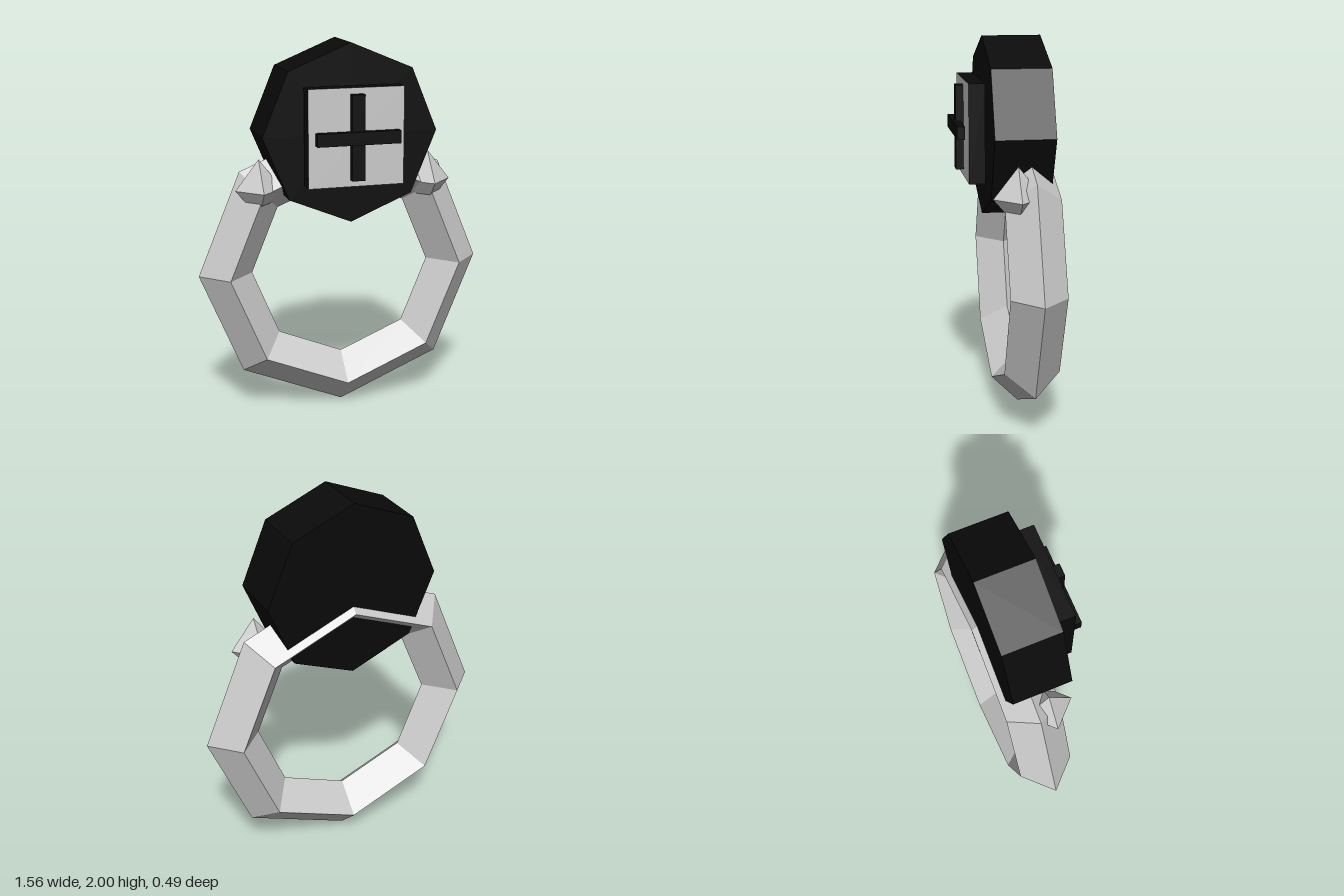
import * as THREE from 'three';

export function createModel() {
  const model = new THREE.Group();
  const silver = new THREE.MeshStandardMaterial({ color: 0xcccccc, flatShading: true });
  const black = new THREE.MeshStandardMaterial({ color: 0x0a0a0a, flatShading: true });

  const add = (name, geometry, material, x, y, z) => {
    const mesh = new THREE.Mesh(geometry, material);
    mesh.name = name;
    mesh.position.set(x, y, z);
    model.add(mesh);
    return mesh;
  };

  // Eight-sided band with a diamond cross-section
  add('band', new THREE.TorusGeometry(0.635, 0.143, 4, 8), silver, 0, 0.78, -0.102);

  // Octagonal stone standing upright, one corner on top
  const stone = new THREE.CylinderGeometry(0.465, 0.465, 0.305, 8).rotateX(Math.PI / 2);
  add('stone', stone, black, 0, 1.535, -0.062);

  // Square plate: dark sides, light face, floating just off the stone
  const plateMaterials = [black, black, black, black, silver, black];
  add('plate', new THREE.BoxGeometry(0.505, 0.505, 0.082), plateMaterials, 0, 1.533, 0.149);

  // Raised cross, the horizontal bar a little further forward
  add('crossUpright', new THREE.BoxGeometry(0.068, 0.438, 0.04), black, 0, 1.535, 0.21);
  add('crossBar', new THREE.BoxGeometry(0.438, 0.066, 0.04), black, 0, 1.535, 0.225);

  // Four-sided pointed studs on both shoulders
  const studProfile = [[0, 1.14], [0.065, 1.175], [0.125, 1.245], [0, 1.405]]
    .map(([r, y]) => new THREE.Vector2(r, y - 1.245));
  for (const side of [1, -1]) {
    add(side > 0 ? 'leftStud' : 'rightStud',
      new THREE.LatheGeometry(studProfile, 4), silver, side * 0.462, 1.245, -0.025);
  }

  return model;
}
